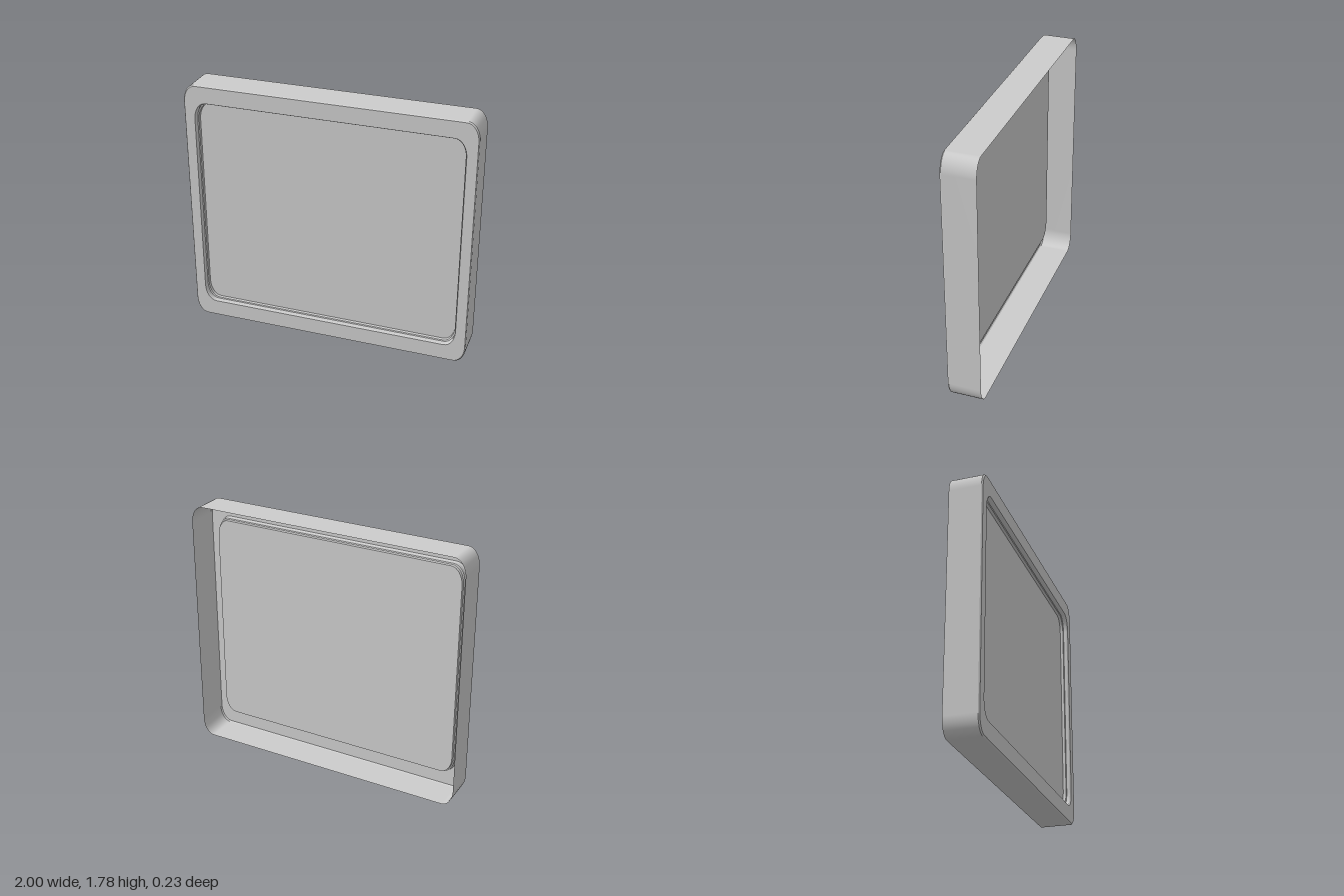
import * as THREE from 'three';

const MID_Y = 0.89;
const material = new THREE.MeshStandardMaterial({ color: 0xcccccc, side: THREE.DoubleSide });

// Rounded rectangle with elliptical corners, counter-clockwise seen from the front
function ring(halfW, halfH, z, rx = 0.08, ry = 0.12, steps = 8) {
  const points = [];
  [[1, 1], [-1, 1], [-1, -1], [1, -1]].forEach(([sx, sy], corner) => {
    for (let i = 0; i <= steps; i++) {
      const a = (corner + i / steps) * Math.PI / 2;
      points.push(new THREE.Vector3(
        sx * (halfW - rx) + rx * Math.cos(a),
        MID_Y + sy * (halfH - ry) + ry * Math.sin(a), z));
    }
  });
  return points;
}

// Strip between two rings; each strip keeps its own normals so edges stay crisp
function band(name, a, b) {
  const n = a.length, index = [];
  for (let i = 0; i < n; i++) {
    const j = (i + 1) % n;
    index.push(i, j, n + j, i, n + j, n + i);
  }
  const geometry = new THREE.BufferGeometry().setFromPoints([...a, ...b]);
  geometry.setIndex(index);
  geometry.computeVertexNormals();
  const mesh = new THREE.Mesh(geometry, material);
  mesh.name = name;
  return mesh;
}

export function createModel() {
  const group = new THREE.Group();
  group.name = 'screenHousing';

  // Cross-section from the open back, around the bezel, into the recess
  const section = [
    ['outerWall', 1, 0.89, -0.115],
    ['outerBevel', 1, 0.89, 0.106],
    ['bezelFace', 0.994, 0.884, 0.115],
    ['openingBevel', 0.925, 0.77, 0.115],
    ['openingWall', 0.92, 0.765, 0.106],
    ['recessLedge', 0.919, 0.764, 0.084],
    ['recessWall', 0.912, 0.757, 0.08],
    ['screenPanel', 0.91, 0.755, 0.06],
  ];
  const rings = section.map(([, w, h, z]) => ring(w, h, z));
  for (let i = 0; i < rings.length - 1; i++) {
    group.add(band(section[i][0], rings[i], rings[i + 1]));
  }

  // Flat panel closing the recess
  const last = rings[rings.length - 1];
  const outline = new THREE.Shape(last.map(p => new THREE.Vector2(p.x, p.y)));
  const panel = new THREE.Mesh(new THREE.ShapeGeometry(outline), material);
  panel.position.z = last[0].z;
  panel.name = 'screenPanel';
  group.add(panel);

  return group;
}
